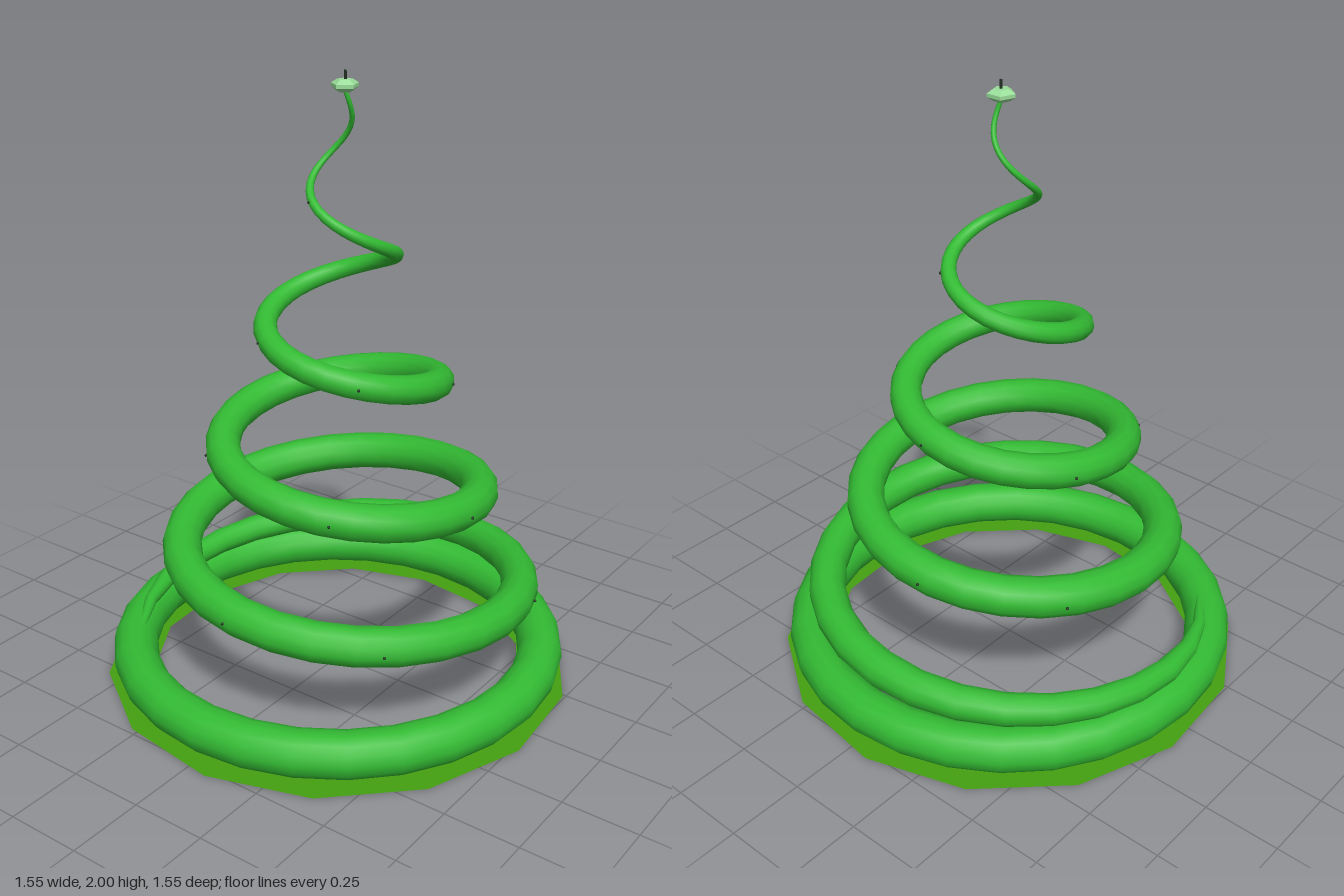
import * as THREE from 'three';

const CENTRE_Z = -0.022;
// Spiral rule: q counts quarter turns from the left-hand start
const spiralPoint = (q, extra = 0) => {
  const a = Math.PI + q * Math.PI / 2;
  const r = 0.66 - 0.0362 * q + extra;
  return new THREE.Vector3(r * Math.cos(a), 0.18 + 0.074 * q + 0.00135 * q * q, CENTRE_Z + r * Math.sin(a));
};
// Tube thickness at chosen quarter turns
const THICKNESS = [[-0.6, 0.004], [0, 0.042], [1, 0.061], [4, 0.065], [7, 0.058], [9, 0.053],
  [11, 0.041], [13, 0.027], [15, 0.015], [16, 0.01], [18, 0.007]];
function thickness(q) {
  for (let i = 1; i < THICKNESS.length; i++) {
    const [q0, r0] = THICKNESS[i - 1], [q1, r1] = THICKNESS[i];
    if (q <= q1) return THREE.MathUtils.lerp(r0, r1, (q - q0) / (q1 - q0));
  }
  return THICKNESS[THICKNESS.length - 1][1];
}

// Tube whose rings are scaled by the thickness rule
function taperedSpiral(q0, q1, segments, sides) {
  class Spiral extends THREE.Curve {
    getPoint(t, target = new THREE.Vector3()) {
      return target.copy(spiralPoint(THREE.MathUtils.lerp(q0, q1, t)));
    }
    getPointAt(t, target) { return this.getPoint(t, target); }
    getTangentAt(t, target) { return this.getTangent(t, target); }
  }
  const geo = new THREE.TubeGeometry(new Spiral(), segments, 1, sides, false);
  const pos = geo.attributes.position, v = new THREE.Vector3();
  for (let i = 0; i <= segments; i++) {
    const q = THREE.MathUtils.lerp(q0, q1, i / segments);
    const c = spiralPoint(q), r = thickness(q);
    for (let j = 0; j <= sides; j++) {
      const k = i * (sides + 1) + j;
      v.fromBufferAttribute(pos, k).sub(c).multiplyScalar(r).add(c);
      pos.setXYZ(k, v.x, v.y, v.z);
    }
  }
  return geo;
}

export function createModel() {
  const group = new THREE.Group();
  const mat = (color, opts = {}) => new THREE.MeshStandardMaterial({ color, ...opts });
  const green = mat(0x33bb33), pale = mat(0x99dd99, { flatShading: true }), dark = mat(0x203020);
  const add = (name, geo, material, x = 0, y = 0, z = 0) => {
    const mesh = new THREE.Mesh(geo, material);
    mesh.name = name;
    mesh.position.set(x, y, z);
    group.add(mesh);
    return mesh;
  };

  // Flat ring on the ground
  add('groundRing', new THREE.RingGeometry(0.63, 0.78, 14, 1, THREE.MathUtils.degToRad(18))
    .rotateX(-Math.PI / 2), mat(0x44a010, { side: THREE.DoubleSide }));

  // Thick closed ring
  add('baseRing', new THREE.TorusGeometry(0.687, 0.074, 14, 28).rotateX(Math.PI / 2), green, 0, 0.09, 0);

  // Rising, tapering coil
  add('spiralCoil', taperedSpiral(-0.6, 18, 130, 12), green);

  // Tiny studs along the outer side of the coil
  const studs = new THREE.Group();
  studs.name = 'studs';
  const studGeo = new THREE.SphereGeometry(0.005, 6, 4);
  for (const q of [1.78, 2.47, 3, 4.33, 4.87, 6, 6.65, 7.43, 8.2, 9, 9.7, 10.5, 11.3, 13.4, 15.2]) {
    const stud = new THREE.Mesh(studGeo, dark);
    stud.name = 'stud';
    stud.position.copy(spiralPoint(q, thickness(q)));
    studs.add(stud);
  }
  group.add(studs);

  // Faceted bead and pin at the tip
  const profile = [[0, -0.018], [0.025, -0.018], [0.044, -0.005], [0.044, 0.006], [0.025, 0.018], [0, 0.018]]
    .map(([x, y]) => new THREE.Vector2(x, y));
  add('tipBead', new THREE.LatheGeometry(profile, 5), pale, 0.006, 1.955, -0.028);
  add('tipPin', new THREE.CylinderGeometry(0.004, 0.005, 0.06, 6), dark, 0.006, 1.97, -0.03);

  return group;
}
